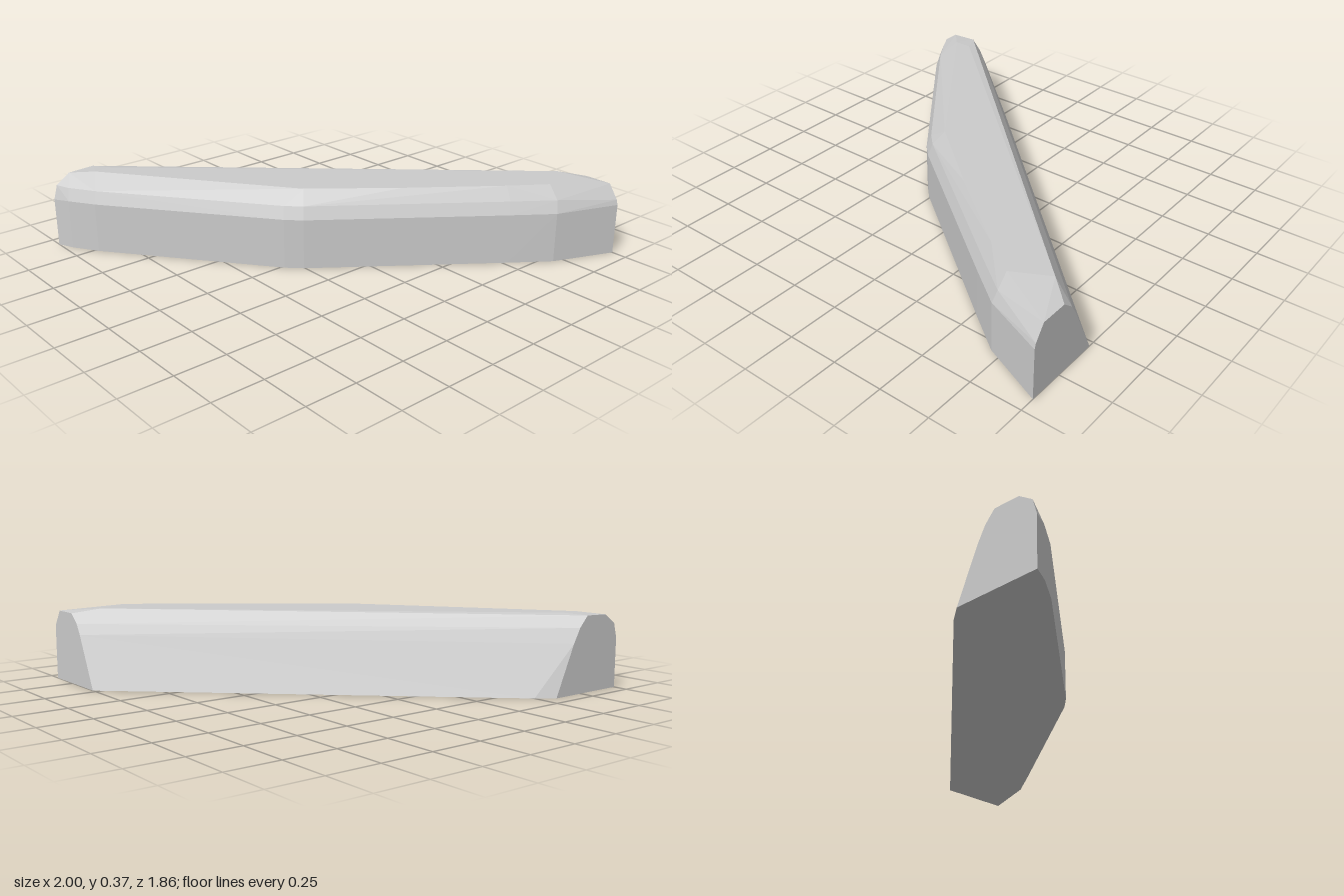
import * as THREE from 'three';
import { ConvexGeometry } from 'three/addons/geometries/ConvexGeometry.js';

export function createModel() {
  const group = new THREE.Group();
  const points = [];
  const add = (x, y, z) => points.push(new THREE.Vector3(x, y, z));

  // bowed front wall: outline [x, z], vertical from the ground to the shoulder, then rounded inwards
  const wall = [[-0.965, -0.85], [-0.89, -0.73], [-0.6, -0.355], [-0.32, 0.015],
    [-0.255, 0.08], [0.13, 0.37], [0.52, 0.667], [0.7, 0.8]];
  for (const [x, z] of wall) {
    add(x, 0, z);
    add(x, 0.245, z);
    add(x + 0.016, 0.305, z - 0.018);
  }

  // flat right-hand cut at z = -0.93, profile [x, y]
  for (const [x, y] of [[-1, 0], [-1, 0.24], [-0.98, 0.31], [-0.91, 0.358], [-0.78, 0.363],
    [-0.73, 0.31], [-0.69, 0.24], [-0.58, 0]]) add(x, y, -0.93);

  // flat left-hand cut at x = 1, profile [z, y]
  for (const [z, y] of [[0.925, 0], [0.925, 0.25], [0.918, 0.275], [0.87, 0.345], [0.735, 0.345],
    [0.68, 0.3], [0.65, 0.25], [0.53, 0]]) add(1, y, z);

  // chamfered corner at the foot of the straight sloping back
  add(-0.5, 0, -0.87);

  // level crest
  for (const [x, z] of [[-0.82, -0.83], [-0.73, -0.83], [-0.2, 0.015], [0.16, 0.31],
    [0.55, 0.61], [0.72, 0.73], [0.89, 0.64]]) add(x, 0.37, z);

  const body = new THREE.Mesh(
    new ConvexGeometry(points),
    new THREE.MeshStandardMaterial({ color: 0xcccccc, flatShading: true })
  );
  body.name = 'taperedBody';
  group.add(body);
  return group;
}
